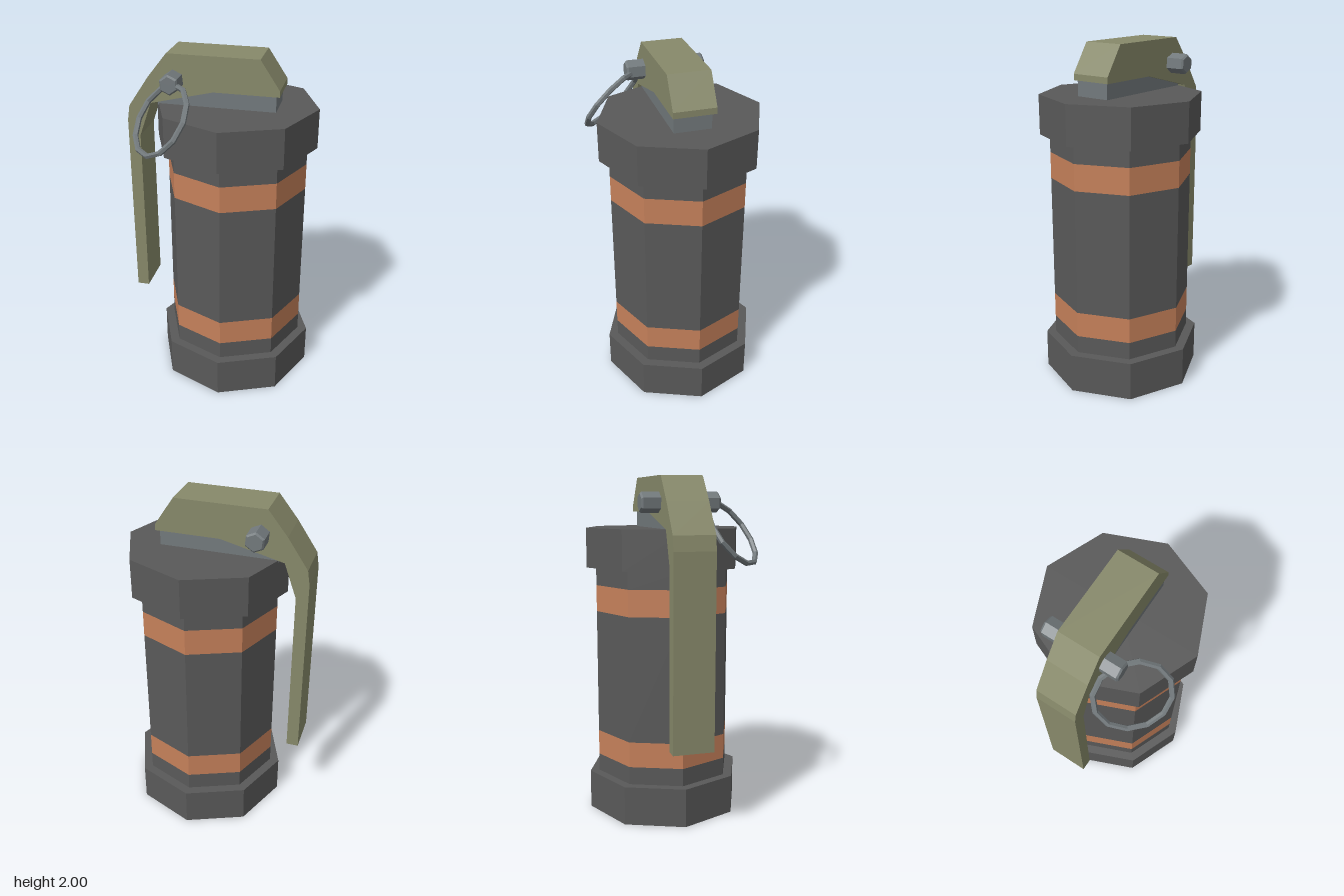
import * as THREE from 'three';

const mat = (name, color) => {
  const m = new THREE.MeshStandardMaterial({ color });
  m.name = name;
  return m;
};

export function createModel() {
  const root = new THREE.Group();
  root.name = 'canister';
  const dark = mat('dark grey casing', 0x595959);
  const orange = mat('orange band', 0xc5805a);
  const olive = mat('olive lever', 0x87896a);
  const metal = mat('steel grey', 0x72797c);

  // Adds a faceted mesh
  const add = (name, geometry, material, parent = root) => {
    const g = geometry.index ? geometry.toNonIndexed() : geometry;
    g.computeVertexNormals();
    const mesh = new THREE.Mesh(g, material);
    mesh.name = name;
    parent.add(mesh);
    return mesh;
  };

  // Octagonal casing, stacked from bottom to top
  const casing = new THREE.Group();
  casing.name = 'casing';
  casing.position.set(0.067, 0, -0.01);
  root.add(casing);
  const sections = [
    ['bottomCap', 0, 0.23, 0.467, dark],
    ['lowerBody', 0.23, 0.335, 0.411, dark],
    ['lowerBand', 0.335, 0.485, 0.411, orange],
    ['middleBody', 0.485, 1.22, 0.411, dark],
    ['upperBand', 1.22, 1.375, 0.411, orange],
    ['upperBody', 1.375, 1.48, 0.411, dark],
    ['topCap', 1.48, 1.71, 0.467, dark],
  ];
  for (const [name, y0, y1, r, material] of sections) {
    const open = !name.endsWith('Cap');
    const g = new THREE.CylinderGeometry(r, r, y1 - y0, 8, 1, open);
    g.translate(0, (y0 + y1) / 2, 0);
    add(name, g, material, casing);
  }

  // Neck block under the lever head
  const neck = add('neck', new THREE.BoxGeometry(0.67, 0.12, 0.21), metal);
  neck.position.set(-0.025, 1.76, -0.005);

  // Lever: side outline extruded across the width
  const outline = [
    [-0.54, 0.49], [-0.47, 0.49], [-0.47, 1.51], [-0.4, 1.71], [-0.04, 1.8],
    [0.33, 1.8], [0.33, 1.835], [0.22, 2], [-0.3, 2], [-0.41, 1.86],
    [-0.527, 1.685], [-0.54, 1.6],
  ].map(([x, y]) => new THREE.Vector2(x, y));
  const leverGeo = new THREE.ExtrudeGeometry(new THREE.Shape(outline), {
    depth: 0.24, bevelEnabled: false,
  });
  leverGeo.translate(0, 0, -0.13);
  add('lever', leverGeo, olive);

  // Hexagonal pin with small end chamfers
  const pinProfile = [
    [0, -0.228], [0.048, -0.228], [0.058, -0.218],
    [0.058, 0.218], [0.048, 0.228], [0, 0.228],
  ].map(([x, y]) => new THREE.Vector2(x, y));
  const pinGeo = new THREE.LatheGeometry(pinProfile, 6);
  pinGeo.rotateX(Math.PI / 2).rotateZ(0.1);
  add('pin', pinGeo, metal).position.set(-0.26, 1.855, -0.012);

  // Pull ring hanging diagonally from the front of the pin
  const ring = add('pullRing', new THREE.TorusGeometry(0.207, 0.016, 6, 12), metal);
  ring.position.set(-0.285, 1.685, 0.293);
  ring.quaternion.setFromUnitVectors(
    new THREE.Vector3(0, 0, 1), new THREE.Vector3(-1, 1, 1).normalize());

  return root;
}
